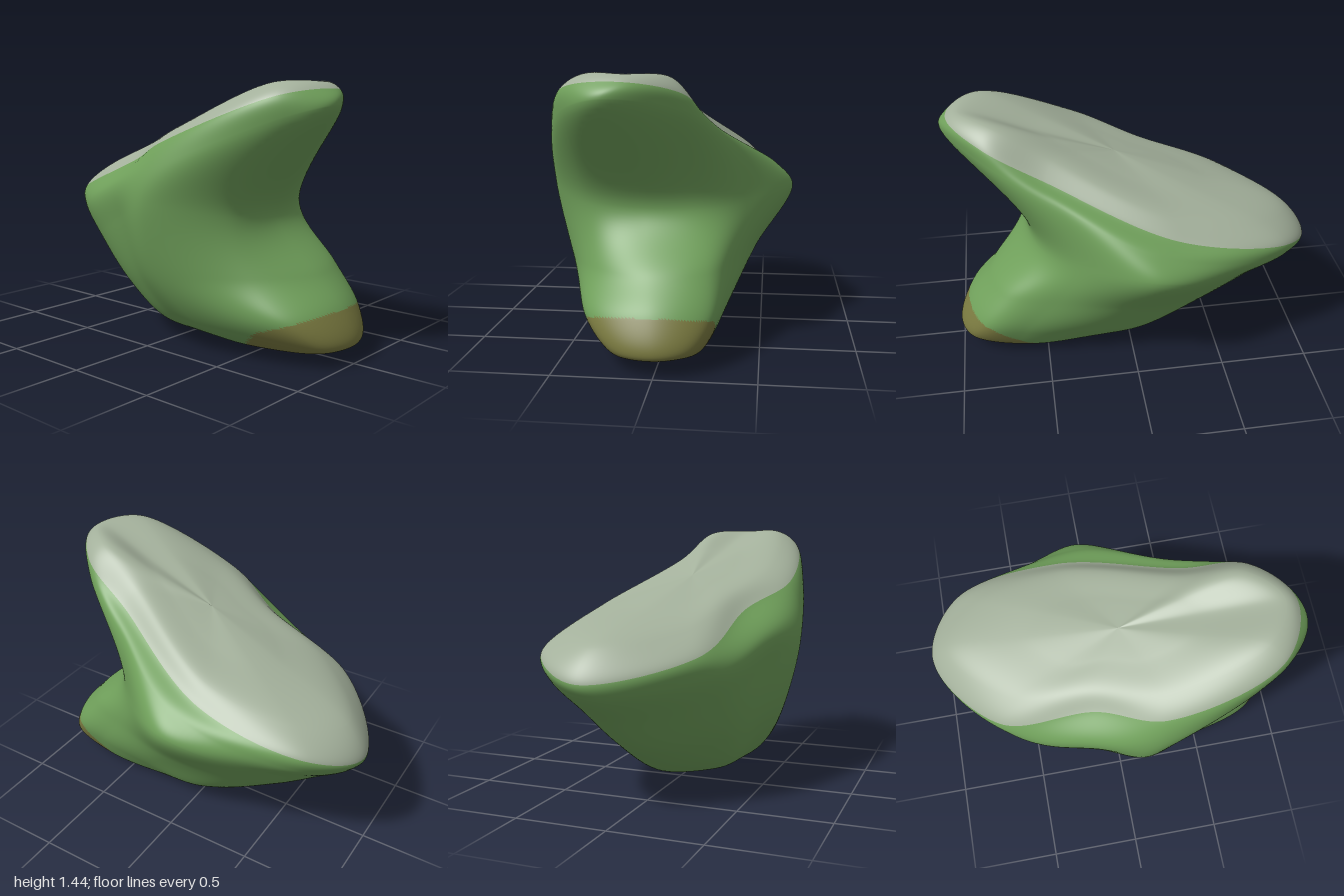
import * as THREE from 'three';

// Each ring runs from the right end over the front to the left end and round the back
const crown = [
  [0.88, 1.435, 0.15], [0.74, 1.43, 0.37], [0.22, 1.21, 0.46], [-0.12, 1.09, 0.34], [-0.54, 0.94, 0.26],
  [-0.88, 0.865, -0.13], [-0.69, 0.91, -0.36], [-0.18, 1.02, -0.40], [0.40, 1.26, -0.15], [0.71, 1.42, -0.05],
];
const rim = [
  [0.95, 1.40, 0.15], [0.82, 1.37, 0.45], [0.22, 1.14, 0.58], [-0.14, 1.01, 0.43], [-0.66, 0.81, 0.345],
  [-1.00, 0.70, -0.15], [-0.80, 0.80, -0.455], [-0.20, 0.93, -0.50], [0.45, 1.18, -0.23], [0.77, 1.34, -0.12],
];
const shoulder = [
  [0.995, 1.32, 0.23], [0.84, 1.26, 0.45], [0.20, 1.00, 0.65], [-0.20, 0.87, 0.56], [-0.60, 0.72, 0.40],
  [-0.97, 0.63, -0.12], [-0.75, 0.72, -0.46], [-0.10, 0.90, -0.58], [0.40, 1.09, -0.34], [0.78, 1.26, -0.12],
];
const waist = [
  [0.57, 0.75, 0.10], [0.53, 0.78, 0.42], [0.15, 0.80, 0.665], [-0.14, 0.69, 0.56], [-0.46, 0.55, 0.41],
  [-0.80, 0.48, -0.10], [-0.58, 0.60, -0.43], [-0.08, 0.79, -0.67], [0.32, 0.76, -0.42], [0.50, 0.75, -0.20],
];
const lower = [
  [0.80, 0.45, 0.05], [0.62, 0.45, 0.38], [0.15, 0.42, 0.57], [-0.06, 0.36, 0.48], [-0.28, 0.30, 0.36],
  [-0.55, 0.27, -0.05], [-0.38, 0.38, -0.34], [0.05, 0.46, -0.47], [0.45, 0.47, -0.37], [0.72, 0.46, -0.24],
];
const foot = [
  [0.945, 0.28, 0.02], [0.82, 0.24, 0.34], [0.30, 0.17, 0.42], [0.10, 0.13, 0.36], [-0.08, 0.10, 0.27],
  [-0.18, 0.07, -0.05], [-0.05, 0.13, -0.26], [0.30, 0.18, -0.31], [0.62, 0.22, -0.31], [0.86, 0.25, -0.25],
];
const sole = [
  [1.00, 0.10, 0.00], [0.92, 0.09, 0.20], [0.45, 0.06, 0.27], [0.28, 0.05, 0.22], [0.10, 0.04, 0.14],
  [0.00, 0.05, -0.05], [0.12, 0.03, -0.15], [0.35, 0.01, -0.18], [0.65, 0.05, -0.22], [0.93, 0.10, -0.17],
];

// Shrinks a ring towards its middle and lifts it
function inset(ring, scale, lift) {
  const c = [0, 1, 2].map((k) => ring.reduce((s, p) => s + p[k], 0) / ring.length);
  return ring.map((p) => p.map((v, k) => c[k] + (v - c[k]) * scale + (k === 1 ? lift : 0)));
}

export function createModel() {
  const AROUND = 200, STEP = 18;
  const cap = [inset(crown, 0, 0.02), inset(crown, 0.5, 0.015), crown];
  const rings = [
    ...cap, rim, shoulder, waist, lower, foot, sole, inset(sole, 0.7, -0.025), inset(sole, 0, -0.035),
  ];
  const rimRow = cap.length * STEP;
  const rows = (rings.length - 1) * STEP;

  // Smooth closed curve through every ring, then smooth curves down the side
  const loops = rings.map((r) => new THREE.CatmullRomCurve3(
    r.map((p) => new THREE.Vector3(...p)), true, 'centripetal'));
  const points = [];
  for (let i = 0; i < AROUND; i++) {
    const column = new THREE.CatmullRomCurve3(
      loops.map((l) => l.getPoint(i / AROUND)), false, 'centripetal');
    for (let j = 0; j <= rows; j++) points.push(column.getPoint(j / rows));
  }
  points.forEach((p) => { p.y = Math.max(p.y, 0); });

  // Sort the faces into the pale top, green sides and brown toe
  const faces = [[], [], []];
  const isToe = ({ x, y, z }) => {
    const reach = x + 0.3 * Math.min(z, 0);
    return y < Math.min(0.04 + 0.8 * (reach - 0.48), 0.18 + 0.35 * (x - 0.65));
  };
  const at = (i, j) => (i % AROUND) * (rows + 1) + j;
  const middle = new THREE.Vector3();
  for (let i = 0; i < AROUND; i++) {
    for (let j = 0; j < rows; j++) {
      const a = at(i, j), b = at(i + 1, j), c = at(i + 1, j + 1), d = at(i, j + 1);
      for (const tri of [[a, b, d], [b, c, d]]) {
        middle.set(0, 0, 0);
        tri.forEach((n) => middle.addScaledVector(points[n], 1 / 3));
        faces[j < rimRow ? 0 : isToe(middle) ? 2 : 1].push(...tri);
      }
    }
  }

  const geometry = new THREE.BufferGeometry().setFromPoints(points);
  geometry.setIndex(faces.flat());
  let start = 0;
  faces.forEach((f, m) => {
    geometry.addGroup(start, f.length, m);
    start += f.length;
  });
  geometry.computeVertexNormals();

  const paint = (name, color) => {
    const material = new THREE.MeshStandardMaterial({ color });
    material.name = name;
    return material;
  };
  const body = new THREE.Mesh(geometry, [
    paint('paleGrey', 0xa3b09b), paint('green', 0x6f9f5a), paint('brown', 0x7a7a40),
  ]);
  body.name = 'body';

  const group = new THREE.Group();
  group.name = 'slantedRock';
  group.add(body);
  return group;
}
